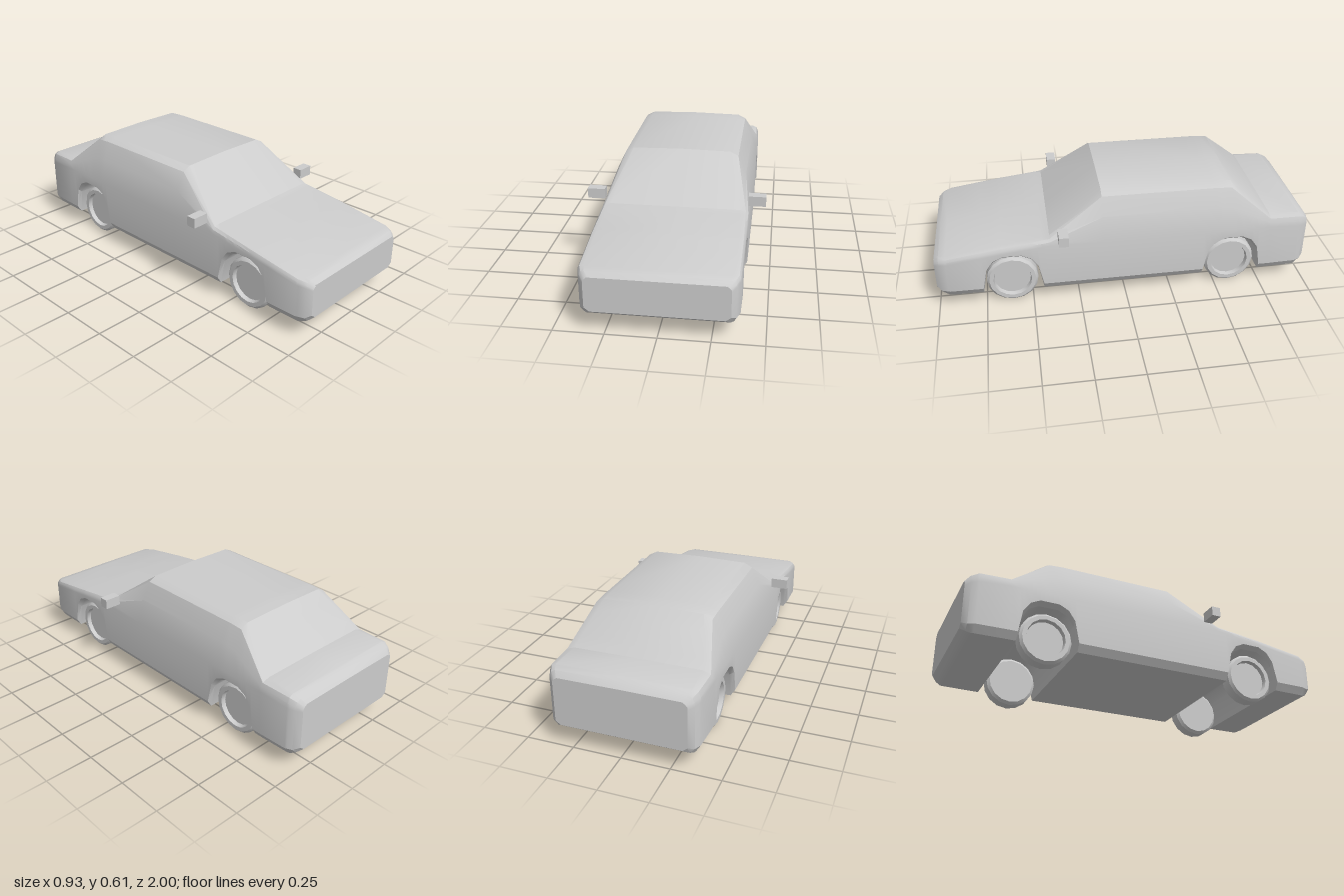
import * as THREE from 'three';
import { toCreasedNormals } from 'three/addons/utils/BufferGeometryUtils.js';

const paint = new THREE.MeshStandardMaterial({ color: 0xcccccc });
paint.name = 'lightGrey';

// Upper outline of the half section along the car:
// z, then x,y of belt, mid, shoulder and roof edge, then y of the centre line
const UPPER = [
  [-1.00, .335, .335, .335, .350, .325, .362, .310, .372, .374],
  [-.975, .362, .345, .360, .365, .350, .386, .330, .398, .400],
  [-.94, .378, .350, .376, .375, .366, .402, .340, .413, .415],
  [-.78, .383, .360, .378, .385, .370, .405, .330, .419, .421],
  [-.57, .383, .360, .350, .480, .305, .578, .262, .600, .605],
  [-.50, .383, .360, .350, .490, .305, .583, .262, .604, .608],
  [.12, .383, .360, .350, .490, .305, .585, .262, .607, .612],
  [.40, .383, .360, .378, .380, .365, .393, .335, .397, .397],
  [.66, .380, .330, .378, .345, .370, .358, .350, .365, .365],
  [.93, .378, .290, .376, .305, .368, .318, .345, .325, .325],
  [.975, .362, .283, .360, .295, .350, .308, .335, .316, .317],
  [1.00, .340, .270, .338, .280, .328, .290, .312, .297, .297],
];

// Height of the underside, with both wheel arches: z, y
const LOWER = [
  [-1, .115], [-.975, .095], [-.95, .083], [-.735, .083], [-.715, .22], [-.68, .27], [-.63, .295],
  [-.53, .295], [-.48, .27], [-.445, .22], [-.42, .083],
  [.44, .083], [.465, .22], [.5, .27], [.55, .295],
  [.65, .295], [.7, .27], [.735, .22], [.76, .083], [.94, .083], [.975, .097], [1, .118],
];

// Linear interpolation of a row in a table sorted by its first column
function sample(table, z) {
  let i = 1;
  while (i < table.length - 1 && table[i][0] < z) i++;
  const a = table[i - 1], b = table[i], t = (z - a[0]) / (b[0] - a[0]);
  return a.map((v, k) => v + (b[k] - v) * t);
}

function section(z) {
  const [, w, beltY, mx, my, sx, sy, tx, ty, cy] = sample(UPPER, z);
  const yb = sample(LOWER, z)[1];
  const sill = Math.max(.122, yb + .02);
  const half = [[0, yb], [w - .025, yb], [w, sill], [w, Math.max(beltY, sill + .005)],
    [mx, my], [sx, sy], [tx, ty], [0, cy]];
  const mirrored = half.slice(1, -1).reverse().map(([x, y]) => [-x, y]);
  return [...half, ...mirrored].map(([x, y]) => [x, y, z]);
}

// Body shell lofted through the sections, closed at both ends
function bodyGeometry() {
  const zs = [...new Set([...UPPER, ...LOWER].map((r) => r[0]))].sort((a, b) => a - b);
  const rings = zs.map(section);
  const n = rings[0].length, last = rings.length - 1;
  const pos = rings.flat(2), idx = [];
  for (let i = 0; i < last; i++) {
    for (let j = 0; j < n; j++) {
      const a = i * n + j, b = i * n + (j + 1) % n;
      idx.push(a, b, b + n, a, b + n, a + n);
    }
  }
  const back = pos.length / 3;
  pos.push(0, .22, -1, 0, .2, 1);
  for (let j = 0; j < n; j++) {
    const k = (j + 1) % n;
    idx.push(back, k, j, back + 1, last * n + j, last * n + k);
  }
  const g = new THREE.BufferGeometry();
  g.setAttribute('position', new THREE.Float32BufferAttribute(pos, 3));
  g.setIndex(idx);
  return toCreasedNormals(g, .5);
}

// Wheel with a recessed hub on its outer side
function wheelGeometry() {
  const profile = [[0, -.043], [.122, -.043], [.137, -.03], [.137, .03], [.124, .043],
    [.102, .043], [.097, .02], [0, .02]].map(([r, y]) => new THREE.Vector2(r, y));
  return toCreasedNormals(new THREE.LatheGeometry(profile, 16), .6);
}

export function createModel() {
  const car = new THREE.Group();
  car.name = 'car';
  const add = (name, geometry, x = 0, y = 0, z = 0) => {
    const mesh = new THREE.Mesh(geometry, paint);
    mesh.name = name;
    mesh.position.set(x, y, z);
    car.add(mesh);
    return mesh;
  };

  add('body', bodyGeometry());

  const wheel = wheelGeometry();
  const mirror = new THREE.BoxGeometry(.09, .053, .05);
  const slit = new THREE.BoxGeometry(.14, .012, .008);
  for (const [side, s] of [['left', 1], ['right', -1]]) {
    for (const [end, z] of [['Front', .605], ['Rear', -.578]]) {
      add(`${side}${end}Wheel`, wheel, s * .298, .137, z).rotation.z = -s * Math.PI / 2;
    }
    add(`${side}Mirror`, mirror, s * .42, .429, .333);
    // headlight trim on the nose
    add(`${side}HeadlightTrim`, slit, s * .253, .291, .996);
  }
  return car;
}
